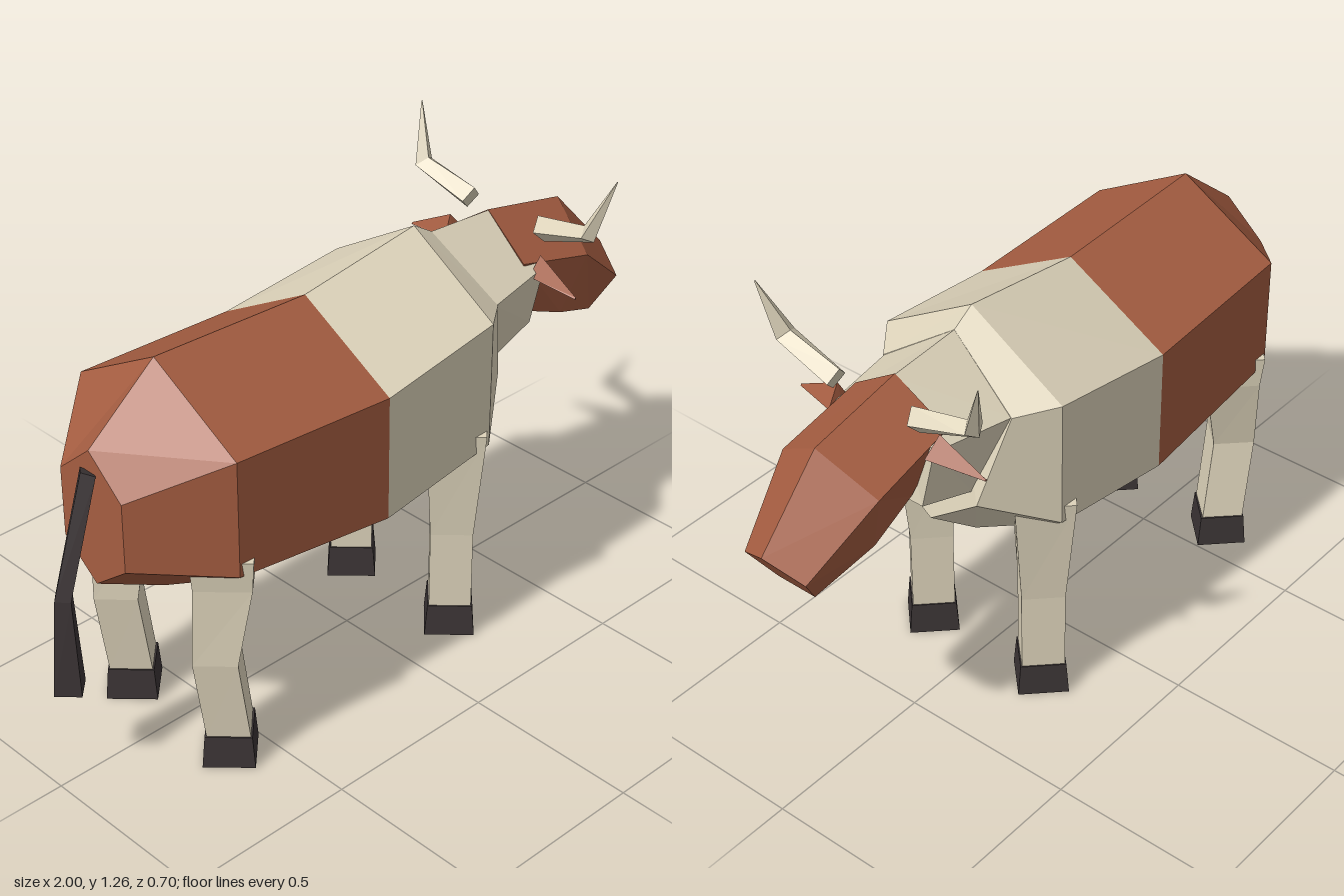
import * as THREE from 'three';

const mat = (name, color) => {
  const m = new THREE.MeshStandardMaterial({ color, flatShading: true });
  m.name = name;
  return m;
};

// Closed faceted skin through rings of equal point count, capped at both ends
function loft(name, rings, material) {
  const n = rings[0].length;
  const tris = [];
  for (let r = 0; r < rings.length - 1; r++) {
    for (let i = 0; i < n; i++) {
      const j = (i + 1) % n;
      const [a, b, c, d] = [rings[r][i], rings[r][j], rings[r + 1][j], rings[r + 1][i]];
      tris.push([a, b, c], [a, c, d]);
    }
  }
  const last = rings[rings.length - 1];
  for (let i = 1; i < n - 1; i++) {
    tris.push([rings[0][0], rings[0][i + 1], rings[0][i]], [last[0], last[i], last[i + 1]]);
  }
  // Turn all faces outward
  const V = (p) => new THREE.Vector3(...p);
  const o = V(rings[0][0]);
  let volume = 0;
  for (const [a, b, c] of tris) {
    volume += V(a).sub(o).dot(V(b).sub(o).cross(V(c).sub(o)));
  }
  if (volume < 0) tris.forEach((t) => t.reverse());
  const geo = new THREE.BufferGeometry();
  geo.setAttribute('position', new THREE.Float32BufferAttribute(tris.flat(2), 3));
  geo.computeVertexNormals();
  const mesh = new THREE.Mesh(geo, material);
  mesh.name = name;
  return mesh;
}

// Ring from a half profile, mirrored across z = 0
const mirrorRing = (half) => [
  ...half,
  ...half.filter((p) => p[2] !== 0).reverse().map(([x, y, z]) => [x, y, -z]),
];

// Body ring at one x: ridge, upper side, lower side, belly
const bodyRing = (x, top, upper, lower, belly, w) =>
  mirrorRing([[x, top, 0], [x, upper, w], [x, lower, w], [x, belly, 0]]);

// Level diamond ring
const diamond = (x, y, z, rx, rz) => [[x + rx, y, z], [x, y, z + rz], [x - rx, y, z], [x, y, z - rz]];

export function createModel() {
  const brown = mat('brownHide', 0xa55d41);
  const cream = mat('creamHide', 0xded4bb);
  const dark = mat('darkHoof', 0x3b3435);
  const cow = new THREE.Group();
  cow.name = 'horned cow';

  // Body in two colours
  const waist = bodyRing(-0.145, 1.085, 0.915, 0.56, 0.387, 0.302);
  cow.add(loft('hindBody', [
    bodyRing(-0.845, 0.935, 0.835, 0.64, 0.55, 0.115),
    bodyRing(-0.635, 1.105, 0.94, 0.613, 0.44, 0.29),
    waist,
  ], brown));
  cow.add(loft('foreBody', [
    waist,
    bodyRing(0.24, 1.14, 0.965, 0.603, 0.437, 0.287),
    mirrorRing([[0.305, 1.1, 0], [0.34, 0.95, 0.21], [0.412, 0.695, 0.155], [0.412, 0.578, 0]]),
  ], cream));

  // Neck and head
  cow.add(loft('neck', [
    mirrorRing([[0.3, 1.1, 0], [0.335, 0.95, 0.208], [0.4, 0.722, 0.13]]),
    mirrorRing([[0.53, 1.085, 0], [0.57, 0.96, 0.163], [0.57, 0.775, 0.12]]),
  ], cream));
  cow.add(loft('head', [
    mirrorRing([[0.52, 1.088, 0], [0.505, 0.985, 0.148], [0.575, 0.795, 0.09]]),
    mirrorRing([[0.8, 1.03, 0], [0.755, 0.925, 0.156], [0.72, 0.738, 0.1]]),
    mirrorRing([[0.995, 0.823, 0], [0.955, 0.765, 0.1], [0.89, 0.668, 0.06]]),
  ], brown));

  for (const [side, s] of [['left', -1], ['right', 1]]) {
    const flip = (ring) => ring.map(([x, y, z]) => [x, y, z * s]);

    // Ears taper to a point
    cow.add(loft(side + 'Ear', [
      flip([[0.55, 1.003, 0.165], [0.595, 0.95, 0.155], [0.55, 0.935, 0.15], [0.52, 0.945, 0.155]]),
      flip([[0.542, 0.932, 0.3], [0.545, 0.928, 0.3], [0.542, 0.925, 0.3], [0.538, 0.928, 0.3]]),
    ], brown));

    // Horns go outward, then bend upward
    cow.add(loft(side + 'Horn', [
      flip([[0.59, 1.087, 0.115], [0.622, 1.052, 0.128], [0.59, 1.02, 0.14], [0.558, 1.052, 0.128]]),
      flip([[0.582, 1.122, 0.282], [0.614, 1.103, 0.3], [0.582, 1.086, 0.317], [0.55, 1.103, 0.3]]),
      flip([[0.622, 1.258, 0.349], [0.624, 1.257, 0.35], [0.622, 1.256, 0.351], [0.62, 1.257, 0.35]]),
    ], cream));

    // Legs and hooves, diamond in section
    const z = 0.193 * s;
    cow.add(loft(side + 'FrontLeg', [
      diamond(0.207, 0.65, 0.2 * s, 0.113, 0.11),
      diamond(0.205, 0.325, z, 0.081, 0.081),
      diamond(0.205, 0.09, z, 0.081, 0.081),
    ], cream));
    cow.add(loft(side + 'HindLeg', [
      diamond(-0.608, 0.65, 0.2 * s, 0.113, 0.11),
      diamond(-0.605, 0.56, 0.198 * s, 0.105, 0.102),
      diamond(-0.636, 0.335, z, 0.08, 0.081),
      diamond(-0.6, 0.09, z, 0.079, 0.081),
    ], cream));
    for (const [end, x] of [['Front', 0.205], ['Hind', -0.6]]) {
      cow.add(loft(side + end + 'Hoof', [
        diamond(x, 0.092, z, 0.086, 0.086),
        diamond(x, 0, z, 0.096, 0.096),
      ], dark));
    }
  }

  // Tail hangs behind and widens to the tuft
  cow.add(loft('tail', [
    [[-0.832, 0.87, 0], [-0.85, 0.877, 0.03], [-0.872, 0.885, 0], [-0.85, 0.877, -0.03]],
    diamond(-0.948, 0.56, 0, 0.028, 0.03),
    diamond(-0.95, 0.285, 0, 0.05, 0.05),
  ], dark));

  return cow;
}
